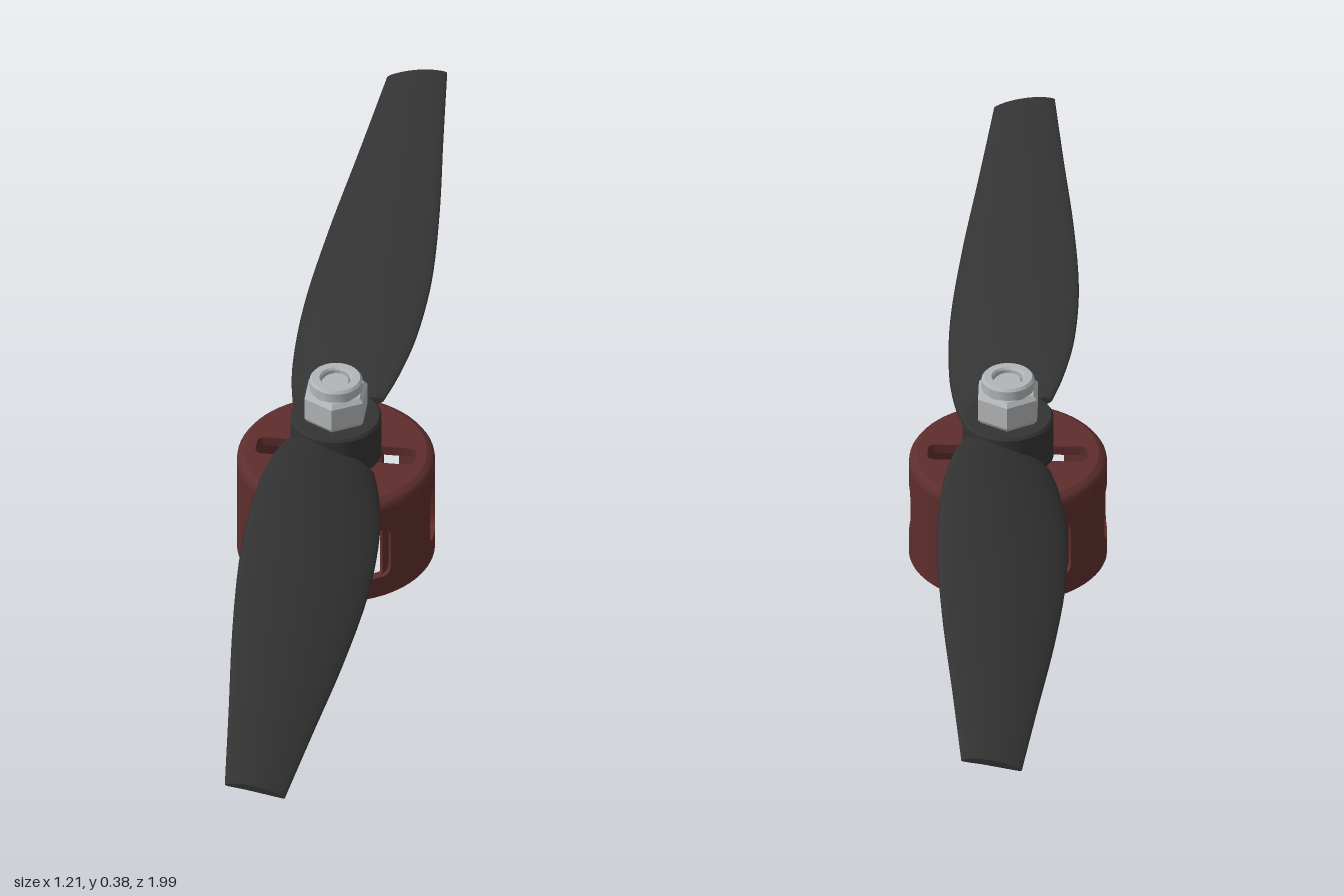
import * as THREE from 'three';
import { toCreasedNormals } from 'three/addons/utils/BufferGeometryUtils.js';

const canRed = new THREE.MeshStandardMaterial({ color: 0x5e2d2d });
canRed.name = 'dark red';
const bladeBlack = new THREE.MeshStandardMaterial({ color: 0x333333 });
bladeBlack.name = 'charcoal';
const steel = new THREE.MeshStandardMaterial({ color: 0xb2b5b7 });
steel.name = 'steel grey';

function part(name, geometry, material, parent, crease = 0.5) {
  const mesh = new THREE.Mesh(crease ? toCreasedNormals(geometry, crease) : geometry, material);
  mesh.name = name;
  parent.add(mesh);
  return mesh;
}

const lathe = (pts, segments = 64) =>
  new THREE.LatheGeometry(pts.map(([r, y]) => new THREE.Vector2(r, y)), segments);

// Ring wall with six round-cornered windows, made of narrow angular columns
function windowedWall(rIn, rOut, height, halfWidth, y0, y1, corner) {
  const pos = [];
  const point = (a, r, y) => [r * Math.sin(a), y, r * Math.cos(a)];
  const quad = (a, b, c, d) => pos.push(...a, ...b, ...c, ...a, ...c, ...d);
  const half = halfWidth / rOut, ca = corner / rOut;
  const inset = (a) => {
    const t = Math.max(0, Math.abs(a) - (half - ca)) / ca;
    return corner * (1 - Math.sqrt(Math.max(0, 1 - t * t)));
  };
  // One column piece between two angles with sloping lower and upper ends
  const column = (a, b, la, lb, ha, hb) => {
    quad(point(a, rOut, la), point(b, rOut, lb), point(b, rOut, hb), point(a, rOut, ha));
    quad(point(b, rIn, lb), point(a, rIn, la), point(a, rIn, ha), point(b, rIn, hb));
    quad(point(a, rOut, ha), point(b, rOut, hb), point(b, rIn, hb), point(a, rIn, ha));
    quad(point(a, rIn, la), point(b, rIn, lb), point(b, rOut, lb), point(a, rOut, la));
  };
  const edge = Math.PI / 6;
  const inner = [-1, -0.92, -0.75, -0.5, -0.25, 0].map((t) => -half + ca * (t + 1));
  const left = [...inner, 0];
  const opening = [...left, ...inner.map((a) => -a).reverse()];
  for (let k = 0; k < 6; k++) {
    const c = k * Math.PI / 3;
    for (let i = 0; i < opening.length - 1; i++) {
      const a = opening[i], b = opening[i + 1], ia = inset(a), ib = inset(b);
      column(c + a, c + b, 0, 0, y0 + ia, y0 + ib);
      column(c + a, c + b, y1 - ia, y1 - ib, height, height);
    }
    for (let i = 0; i < 5; i++) {
      const a = half + (edge - half) * i / 5, b = half + (edge - half) * (i + 1) / 5;
      column(c + a, c + b, 0, 0, height, height);
      column(c - b, c - a, 0, 0, height, height);
    }
    // Window side faces
    const lo = y0 + corner, hi = y1 - corner, l = c - half, r = c + half;
    quad(point(l, rOut, lo), point(l, rIn, lo), point(l, rIn, hi), point(l, rOut, hi));
    quad(point(r, rIn, lo), point(r, rOut, lo), point(r, rOut, hi), point(r, rIn, hi));
  }
  const g = new THREE.BufferGeometry();
  g.setAttribute('position', new THREE.Float32BufferAttribute(pos, 3));
  return g;
}

// Disc with four radial vent slots
function ventedPlate(radius, depth) {
  const shape = new THREE.Shape().absarc(0, 0, radius, 0, Math.PI * 2);
  const near = 0.058, far = 0.146, w = 0.025, c = 0.014;
  for (let k = 0; k < 4; k++) {
    const ang = Math.PI / 6 + k * Math.PI / 2;
    const pts = [];
    [[far - c, w - c, 0], [near + c, w - c, 1], [near + c, c - w, 2], [far - c, c - w, 3]].forEach(([x, y, q]) => {
      for (let i = 0; i <= 4; i++) {
        const t = (q + i / 4) * Math.PI / 2;
        pts.push(new THREE.Vector2(x + c * Math.cos(t), y + c * Math.sin(t)).rotateAround(new THREE.Vector2(), ang));
      }
    });
    shape.holes.push(new THREE.Path(pts.reverse()));
  }
  return new THREE.ExtrudeGeometry(shape, { depth, bevelEnabled: false, curveSegments: 48 }).rotateX(-Math.PI / 2);
}

// Twisted blade along +x: [distance, half chord, high edge y, low edge y, half thickness]
const stations = [
  [0.07, 0.079, 0.280, 0.216, 0.014],
  [0.14, 0.098, 0.289, 0.209, 0.014],
  [0.26, 0.114, 0.291, 0.207, 0.013],
  [0.44, 0.117, 0.285, 0.210, 0.012],
  [0.66, 0.102, 0.276, 0.217, 0.010],
  [0.90, 0.077, 0.267, 0.228, 0.008],
  [1.118, 0.055, 0.259, 0.239, 0.006],
];
function bladeGeometry() {
  const rows = 36, ring = 28, pos = [], idx = [];
  const curves = [1, 2, 3, 4].map((k) =>
    new THREE.SplineCurve(stations.map((s) => new THREE.Vector2(s[0], s[k]))));
  const section = (i) => {
    const [p, hi, lo, th] = curves.map((c) => c.getPoint(i / rows));
    for (let j = 0; j < ring; j++) {
      const t = j / ring * Math.PI * 2, c = Math.cos(t);
      const camber = 0.1 * p.y * (1 - c * c);
      pos.push(p.x, (hi.y + lo.y) / 2 + (hi.y - lo.y) / 2 * c + camber + th.y * Math.sin(t), p.y * c);
    }
  };
  for (let i = 0; i <= rows; i++) section(i);
  for (let i = 0; i < rows; i++) {
    for (let j = 0; j < ring; j++) {
      const a = i * ring + j, d = i * ring + (j + 1) % ring;
      idx.push(a, a + ring, d, d, a + ring, d + ring);
    }
  }
  // Root and tip caps
  for (const [i, flip] of [[0, false], [rows, true]]) {
    const base = pos.length / 3;
    section(i);
    for (let j = 1; j < ring - 1; j++) {
      idx.push(base, base + (flip ? j + 1 : j), base + (flip ? j : j + 1));
    }
  }
  const g = new THREE.BufferGeometry();
  g.setAttribute('position', new THREE.Float32BufferAttribute(pos, 3));
  g.setIndex(idx);
  g.computeVertexNormals();
  return g;
}

export function createModel() {
  const model = new THREE.Group();
  model.name = 'propellerMotor';

  // Motor can: stepped windows in two shells, rounded shoulder, vented top
  const can = new THREE.Group();
  can.name = 'motorCan';
  model.add(can);
  part('outerShell', windowedWall(0.172, 0.18, 0.192, 0.035, 0.042, 0.147, 0.016), canRed, can);
  part('innerShell', windowedWall(0.163, 0.172, 0.192, 0.021, 0.042, 0.147, 0.004), canRed, can);
  part('shoulder', lathe([[0.163, 0.19], [0.18, 0.19], [0.179, 0.198], [0.174, 0.205], [0.163, 0.209]]), canRed, can, 0.8);
  part('ventedTop', ventedPlate(0.165, 0.018), canRed, can).position.y = 0.191;

  // Propeller: hub and two opposite blades
  const propeller = new THREE.Group();
  propeller.name = 'propeller';
  model.add(propeller);
  part('hub', lathe([[0, 0.207], [0.083, 0.207], [0.083, 0.287], [0.079, 0.292], [0, 0.292]], 48), bladeBlack, propeller);
  const blade = bladeGeometry();
  for (let k = 0; k < 2; k++) {
    part('blade', blade, bladeBlack, propeller, 0).rotation.y = -Math.PI / 3 + k * Math.PI;
  }

  // Hex nut with round collar and shaft end
  const nut = new THREE.Group();
  nut.name = 'propellerNut';
  model.add(nut);
  part('hexBody', lathe([[0, 0.291], [0.057, 0.291], [0.062, 0.299], [0.062, 0.343], [0.054, 0.352], [0, 0.352]], 6),
    steel, nut, 0.1).rotation.y = Math.PI / 6;
  part('collar', lathe([[0.048, 0.348], [0.048, 0.37], [0.044, 0.375], [0.03, 0.375], [0.027, 0.371], [0.027, 0.35]], 40), steel, nut);
  part('shaftEnd', lathe([[0.027, 0.35], [0.027, 0.362], [0.023, 0.367], [0, 0.367]], 32), steel, nut);
  return model;
}
